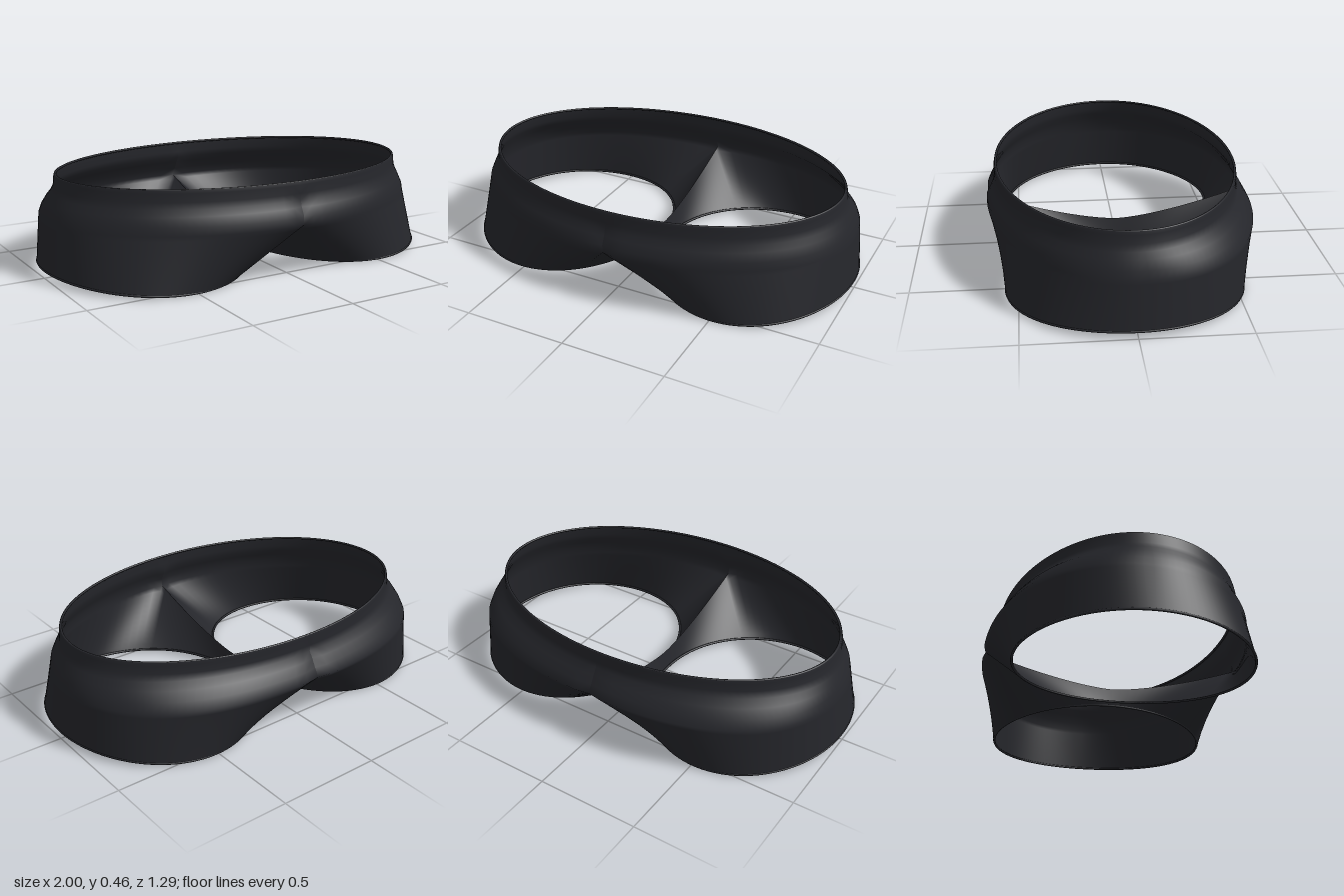
import * as THREE from 'three';
import { mergeVertices } from 'three/addons/utils/BufferGeometryUtils.js';

const material = new THREE.MeshStandardMaterial({ color: 0x25262b, side: THREE.DoubleSide });

// Body rings: height, half width, front depth, back depth, squareness at the back
const rings = [
  [0.455, 0.908, 0.602, 0.572, 2.0],
  [0.44, 0.912, 0.605, 0.574, 2.0],
  [0.40, 0.916, 0.605, 0.574, 2.0],
  [0.37, 0.930, 0.612, 0.578, 2.05],
  [0.34, 0.945, 0.626, 0.603, 2.15],
  [0.30, 0.962, 0.646, 0.625, 2.25],
  [0.26, 0.972, 0.646, 0.648, 2.3],
];
const OUTER = 64, INNER = 32, DROP = 12;
const SPLIT = THREE.MathUtils.degToRad(125); // leg angle where the seam begins

// Point on a body ring; angle 90 deg is the front centre, -90 deg the back centre
function ringPoint([y, w, front, back, power], angle) {
  const c = Math.max(0, Math.cos(angle)), s = Math.sin(angle);
  const e = s < 0 ? 2 / power : 1;
  const x = w * Math.pow(c, e);
  let z = s < 0 ? -back * Math.pow(-s, e) : front * s;
  // shallow centre crease
  const dent = 0.012 * Math.exp(-((x / 0.04) ** 2)) * THREE.MathUtils.smoothstep(0.41 - y, 0, 0.08);
  z -= Math.sign(z) * dent;
  return new THREE.Vector3(x, y, z);
}

// Point on the leg opening
function legPoint(a) {
  return new THREE.Vector3(0.51 + 0.488 * Math.cos(a), 0.003 + 0.027 * Math.cos(a) ** 2,
    (Math.sin(a) > 0 ? 0.562 : 0.545) * Math.sin(a));
}

// Point on the crotch seam, sagging from front centre to back centre
function seamPoint(a) {
  const k = Math.sin(a) / Math.sin(SPLIT);
  const end = ringPoint(rings[6], k > 0 ? Math.PI / 2 : -Math.PI / 2);
  return new THREE.Vector3(0, 0.11 + 0.15 * Math.pow(Math.abs(k), 1.5), Math.abs(k) * end.z);
}

function bodyHalf(side) {
  const pos = [], idx = [];
  const addGrid = (rows) => {
    const start = pos.length / 3, n = rows[0].length;
    rows.forEach((row) => row.forEach((p) => pos.push(side * p.x, p.y, p.z)));
    for (let r = 0; r < rows.length - 1; r++) {
      for (let i = 0; i < n - 1; i++) {
        const a = start + r * n + i, b = a + 1, c = a + n, d = c + 1;
        if (side > 0) idx.push(a, b, c, b, d, c);
        else idx.push(a, c, b, b, c, d);
      }
    }
  };

  // waistband and hip
  const hipAngle = (i) => Math.PI / 2 - (Math.PI * i) / OUTER;
  addGrid(rings.map((ring) =>
    Array.from({ length: OUTER + 1 }, (_, i) => ringPoint(ring, hipAngle(i)))));

  // leg: hip ring and crotch seam blended down to the leg opening
  const upper = [], lower = [];
  for (let i = 0; i <= OUTER; i++) {
    upper.push(ringPoint(rings[6], hipAngle(i)));
    lower.push(legPoint(hipAngle(i) * SPLIT / (Math.PI / 2)));
  }
  for (let i = 1; i <= INNER; i++) {
    const a = -SPLIT - (2 * Math.PI - 2 * SPLIT) * (i / INNER);
    upper.push(seamPoint(a));
    lower.push(legPoint(a));
  }
  const rows = [];
  for (let r = 0; r <= DROP; r++) {
    rows.push(upper.map((p, i) => p.clone().lerp(lower[i], r / DROP)));
  }
  addGrid(rows);

  let geo = new THREE.BufferGeometry();
  geo.setAttribute('position', new THREE.Float32BufferAttribute(pos, 3));
  geo.setIndex(idx);
  geo = mergeVertices(geo, 1e-5);
  // reverse the winding so faces point outward
  const index = geo.index.array;
  for (let i = 0; i < index.length; i += 3) {
    [index[i + 1], index[i + 2]] = [index[i + 2], index[i + 1]];
  }
  geo.computeVertexNormals();
  return new THREE.Mesh(geo, material);
}

// Thin rolled hem along a closed edge
function hem(name, pointAt, radius) {
  const pts = Array.from({ length: 64 }, (_, i) => pointAt((i / 64) * Math.PI * 2));
  const curve = new THREE.CatmullRomCurve3(pts, true);
  const mesh = new THREE.Mesh(new THREE.TubeGeometry(curve, 128, radius, 8, true), material);
  mesh.name = name;
  return mesh;
}

export function createModel() {
  const group = new THREE.Group();
  group.name = 'briefs';

  for (const side of [1, -1]) {
    const label = side > 0 ? 'left' : 'right';
    const half = bodyHalf(side);
    half.name = label + 'Half';
    group.add(half);
    group.add(hem(label + 'LegHem', (a) => {
      const p = legPoint(a);
      return new THREE.Vector3(side * (0.51 + (p.x - 0.51) * 0.992), p.y + 0.003, p.z * 0.992);
    }, 0.006));
  }

  // waist edge
  group.add(hem('waistHem', (a) => {
    const s = Math.sin(a);
    return new THREE.Vector3(0.902 * Math.cos(a), 0.452, (s > 0 ? 0.596 : 0.566) * s);
  }, 0.006));

  return group;
}
